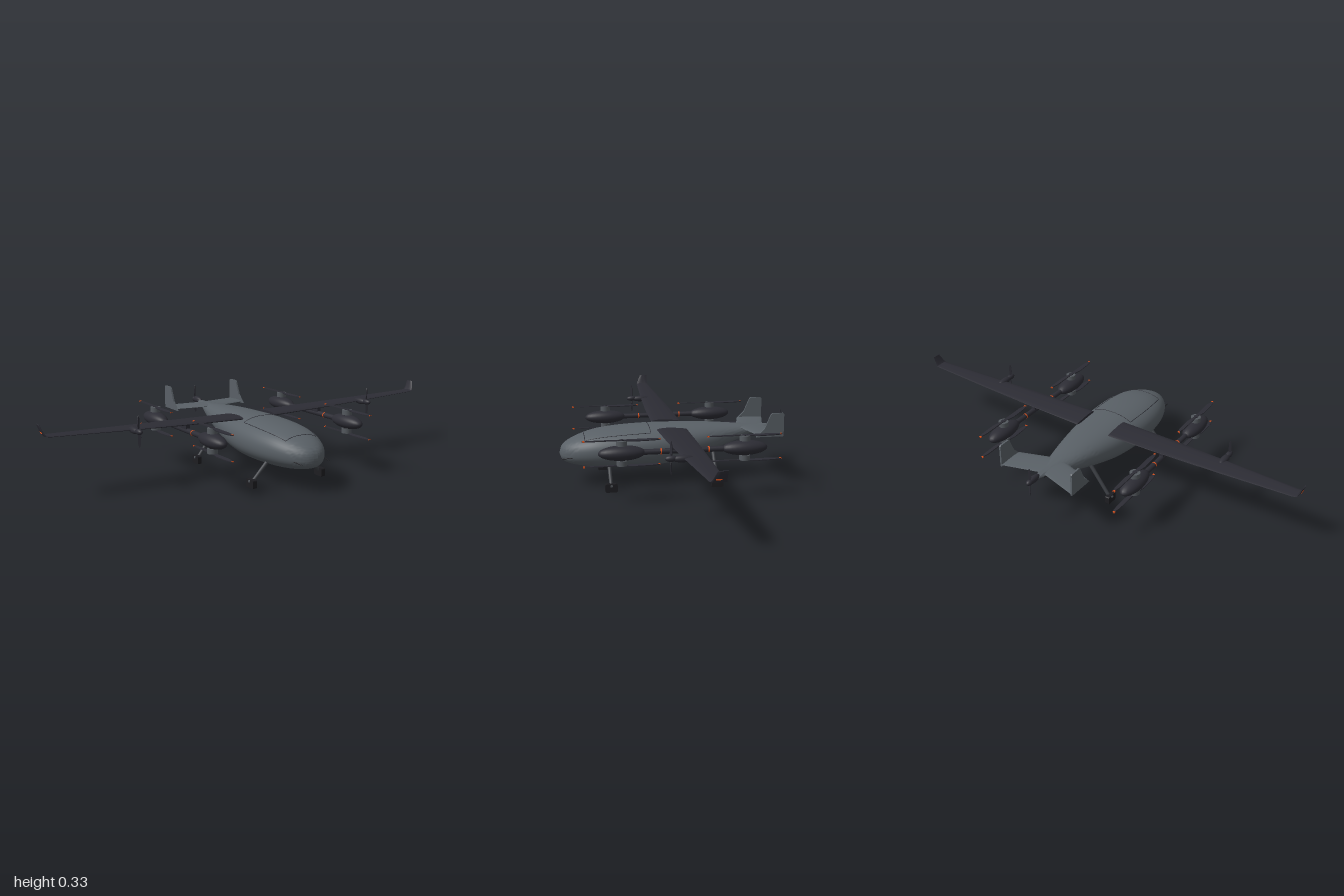
import * as THREE from 'three';
import { toCreasedNormals } from 'three/addons/utils/BufferGeometryUtils.js';

const V = (x, y, z) => new THREE.Vector3(x, y, z);
const mat = (name, color) => new THREE.MeshStandardMaterial({ name, color });

// Skin through closed rings of points, capped at both ends, always facing outwards
function loft(rings, crease = 0.7) {
  const n = rings[0].length, pts = rings.flat(), idx = [];
  for (let i = 0; i < rings.length - 1; i++)
    for (let j = 0; j < n; j++) {
      const a = i * n + j, b = i * n + (j + 1) % n;
      idx.push(a, b, b + n, a, b + n, a + n);
    }
  const last = (rings.length - 1) * n;
  for (let j = 1; j < n - 1; j++) idx.push(0, j + 1, j, last, last + j, last + j + 1);
  let vol = 0;
  for (let i = 0; i < idx.length; i += 3)
    vol += pts[idx[i]].dot(pts[idx[i + 1]].clone().cross(pts[idx[i + 2]]));
  if (vol < 0) idx.reverse();
  const g = new THREE.BufferGeometry().setFromPoints(pts);
  g.setIndex(idx);
  return toCreasedNormals(g, crease);
}

// Aerofoil ring: leading edge zl, trailing edge zt, thickness t, tilted by angle a
function foil(x, y, zl, zt, t, a = 0) {
  const ring = [], N = 20;
  for (let i = 0; i < N; i++) {
    const p = i / N * Math.PI * 2, u = (1 - Math.cos(p)) / 2;
    const h = Math.sin(p) * (1 - 0.6 * u) * t * 0.65;
    ring.push(V(x - Math.sin(a) * h, y + Math.cos(a) * h, zl + (zt - zl) * u));
  }
  return ring;
}

// Fuselage stations: z, half width, top, bottom
const stations = [
  [0.525, 0.004, 0.148, 0.138], [0.515, 0.036, 0.176, 0.115], [0.49, 0.068, 0.197, 0.1],
  [0.44, 0.102, 0.22, 0.088], [0.36, 0.131, 0.243, 0.079], [0.25, 0.146, 0.256, 0.074],
  [0.12, 0.144, 0.262, 0.074], [0, 0.13, 0.262, 0.087], [-0.1, 0.11, 0.26, 0.11],
  [-0.2, 0.086, 0.255, 0.14], [-0.3, 0.058, 0.247, 0.175], [-0.4, 0.027, 0.241, 0.213],
  [-0.47, 0.01, 0.241, 0.231],
];
const size = new THREE.CatmullRomCurve3(stations.map(s => V(s[1], s[2], s[3])), false, 'catmullrom');
const along = new THREE.CatmullRomCurve3(stations.map(s => V(0, 0, s[0])), false, 'catmullrom');
function skin(t, angle, grow = 0) {
  const s = size.getPoint(t), c = Math.cos(angle), n = Math.sin(angle), e = 2 / 2.25;
  return V(Math.sign(c) * Math.abs(c) ** e * (s.x + grow),
    (s.y + s.z) / 2 + Math.sign(n) * Math.abs(n) ** e * ((s.y - s.z) / 2 + grow), along.getPoint(t).z);
}

export function createModel() {
  const model = new THREE.Group();
  const grey = mat('body grey', 0x596066), dark = mat('dark composite', 0x2c2c34);
  const black = mat('black rubber', 0x1d1d21), strutGrey = mat('strut grey', 0x3a3d42);
  const motorGrey = mat('motor grey', 0x53585d), orange = mat('orange light', 0xd8501c);

  const add = (parent, name, geo, material, x = 0, y = 0, z = 0) => {
    const m = new THREE.Mesh(geo, material);
    m.name = name;
    m.position.set(x, y, z);
    parent.add(m);
    return m;
  };
  const group = (name, x = 0, y = 0, z = 0, parent = model) => {
    const g = new THREE.Group();
    g.name = name;
    g.position.set(x, y, z);
    parent.add(g);
    return g;
  };
  const ball = (a, b, c) => new THREE.SphereGeometry(1, 28, 18).scale(a, b, c);
  const rod = (parent, name, a, b, r0, r1, material) => {
    const m = add(parent, name, new THREE.CylinderGeometry(r1, r0, a.distanceTo(b), 16), material);
    m.position.copy(a).lerp(b, 0.5);
    m.quaternion.setFromUnitVectors(V(0, 1, 0), b.clone().sub(a).normalize());
  };

  // Fuselage
  const rings = [];
  for (let i = 0; i <= 72; i++)
    rings.push(Array.from({ length: 48 }, (_, j) => skin(i / 72, j / 48 * Math.PI * 2)));
  add(model, 'fuselage', loft(rings, 1.0), grey);

  // Hatch seam on the upper nose
  const seam = [], t0 = 0.28, t1 = 0.5, a0 = 0.85, a1 = Math.PI - a0;
  for (let i = 0; i <= 12; i++) seam.push(skin(t0 + (t1 - t0) * i / 12, a0));
  for (let i = 1; i <= 12; i++) seam.push(skin(t1, a0 + (a1 - a0) * i / 12));
  for (let i = 1; i <= 12; i++) seam.push(skin(t1 + (t0 - t1) * i / 12, a1));
  for (let i = 1; i < 12; i++) seam.push(skin(t0, a1 + (a0 - a1) * i / 12));
  add(model, 'hatchSeam', new THREE.TubeGeometry(
    new THREE.CatmullRomCurve3(seam, true), 160, 0.0014, 6, true), dark);

  // Rotor blade pair, lying along z
  const bladeShape = (L, w) => {
    const s = new THREE.Shape();
    s.moveTo(-w * 0.35, 0);
    s.lineTo(-w, L * 0.35);
    s.lineTo(-w * 0.8, L * 0.75);
    s.quadraticCurveTo(-w * 0.5, L, 0, L);
    s.lineTo(w * 0.5, L * 0.75);
    s.lineTo(w * 0.35, 0);
    return s;
  };
  const blades = (parent, L, w, thick, upright) => {
    const geo = new THREE.ExtrudeGeometry(bladeShape(L, w), { depth: thick, bevelEnabled: false, curveSegments: 6 });
    geo.translate(0, 0, -thick / 2).rotateY(upright ? 0.5 : 0.12);
    for (const k of [0, 1]) {
      const pivot = group('bladePivot', 0, 0, 0, parent);
      if (!upright) pivot.rotation.x = Math.PI / 2;
      add(pivot, 'blade', geo, dark).rotation.z = k * Math.PI;
    }
  };

  // Small propeller with spinner, nose towards +z
  const propeller = (name, x, y, z) => {
    const g = group(name, x, y, z);
    blades(g, 0.069, 0.009, 0.003, true);
    add(g, 'spinner', ball(0.013, 0.013, 0.026), dark);
    return g;
  };

  for (const s of [1, -1]) {
    const side = s > 0 ? 'left' : 'right';

    // Wing with blended winglet
    add(model, side + 'Wing', loft([
      foil(s * 0.085, 0.25, 0.09, -0.047, 0.019), foil(s * 0.35, 0.254, 0.082, -0.043, 0.016),
      foil(s * 0.62, 0.259, 0.066, -0.035, 0.012), foil(s * 0.96, 0.267, 0.041, -0.022, 0.008),
      foil(s * 0.978, 0.27, 0.04, -0.021, 0.007, s * 0.5), foil(s * 0.986, 0.281, 0.034, -0.019, 0.006, s * 1.2),
      foil(s * 0.998, 0.315, 0.018, -0.02, 0.004, s * 1.3),
    ]), dark);
    add(model, side + 'WingtipLight', new THREE.BoxGeometry(0.005, 0.005, 0.024), orange, s * 0.988, 0.282, 0.012);

    // Wing nacelle and its propeller
    add(model, side + 'Nacelle', ball(0.016, 0.015, 0.045), dark, s * 0.61, 0.258, 0.07);
    propeller(side + 'WingPropeller', s * 0.61, 0.26, 0.115);

    // Lift boom with two pods, each with an upper and a lower rotor
    const boom = group(side + 'LiftBoom', s * 0.355, 0.223, 0);
    add(boom, 'boomTube', new THREE.CylinderGeometry(0.012, 0.012, 0.6, 20).rotateX(Math.PI / 2), dark, 0, 0, 0.015);
    add(boom, 'wingSaddle', new THREE.BoxGeometry(0.02, 0.03, 0.1), dark, 0, 0.018, 0.02);
    for (const z of [0.115, -0.09])
      add(boom, 'boomLight', new THREE.CylinderGeometry(0.0128, 0.0128, 0.006, 20).rotateX(Math.PI / 2), orange, 0, 0, z);
    for (const z of [0.281, -0.248]) {
      add(boom, 'motorPod', ball(0.04, 0.032, 0.1), dark, 0, 0, z);
      for (const d of [1, -1]) {
        add(boom, 'motor', new THREE.CylinderGeometry(0.023, 0.023, 0.022, 24), motorGrey, 0, d * 0.043, z);
        add(boom, 'motorMount', new THREE.CylinderGeometry(0.015, 0.015, 0.03, 20), black, 0, d * 0.028, z);
        const rotor = group('liftRotor', 0, d * 0.0545, z, boom);
        add(rotor, 'hub', new THREE.CylinderGeometry(0.01, 0.01, 0.006, 16), dark);
        blades(rotor, 0.166, 0.015, 0.004, false);
        for (const e of [1, -1])
          add(rotor, 'bladeTip', new THREE.BoxGeometry(0.009, 0.005, 0.008), orange, 0, 0, e * 0.159);
      }
    }

    // Tailplane and end fin
    add(model, side + 'Tailplane', loft([
      foil(0, 0.237, -0.295, -0.425, 0.011), foil(s * 0.187, 0.231, -0.352, -0.474, 0.008),
    ]), grey);
    const fin = new THREE.Shape([[0.345, 0.223], [0.384, 0.262], [0.41, 0.322], [0.417, 0.33],
      [0.467, 0.33], [0.472, 0.325], [0.472, 0.223]].map(p => new THREE.Vector2(...p)));
    add(model, side + 'Fin', new THREE.ExtrudeGeometry(fin, { depth: 0.008, bevelEnabled: false })
      .rotateY(Math.PI / 2).translate(s * 0.187 - 0.004, 0, 0), grey);

    // Landing legs with wheels
    for (const [z, x, y] of [[0.31, 0.1, 0.105], [-0.17, 0.07, 0.165]]) {
      const leg = group(side + (z > 0 ? 'FrontLeg' : 'RearLeg'), 0, 0, z);
      rod(leg, 'strut', V(s * 0.176, 0.026, 0), V(s * x, y, 0), 0.008, 0.009, strutGrey);
      const foot = new THREE.Shape(), a = 0.027, b = 0.019, r = 0.007;
      foot.moveTo(-a + r, -b);
      foot.lineTo(a - r, -b).quadraticCurveTo(a, -b, a, -b + r);
      foot.lineTo(a, b - r).quadraticCurveTo(a, b, a - r, b);
      foot.lineTo(-a + r, b).quadraticCurveTo(-a, b, -a, b - r);
      foot.lineTo(-a, -b + r).quadraticCurveTo(-a, -b, -a + r, -b);
      add(leg, 'footPad', new THREE.ExtrudeGeometry(foot, { depth: 0.02, bevelEnabled: false, curveSegments: 5 })
        .rotateY(Math.PI / 2).translate(-0.01, 0, 0), black, s * 0.182, 0.019, 0);
      add(leg, 'axleCap', new THREE.CylinderGeometry(0.006, 0.006, 0.026, 14).rotateZ(Math.PI / 2),
        motorGrey, s * 0.182, 0.03, 0);
    }

    // Nose probe
    rod(model, side + 'NoseProbe', V(s * 0.078, 0.135, 0.47), V(s * 0.07, 0.13, 0.52), 0.0025, 0.0015, black);
  }

  // Tail pusher propeller
  add(model, 'tailCone', ball(0.014, 0.016, 0.04), dark, 0, 0.238, -0.485);
  propeller('tailPropeller', 0, 0.238, -0.511).scale.z = 0.75;

  return model;
}
